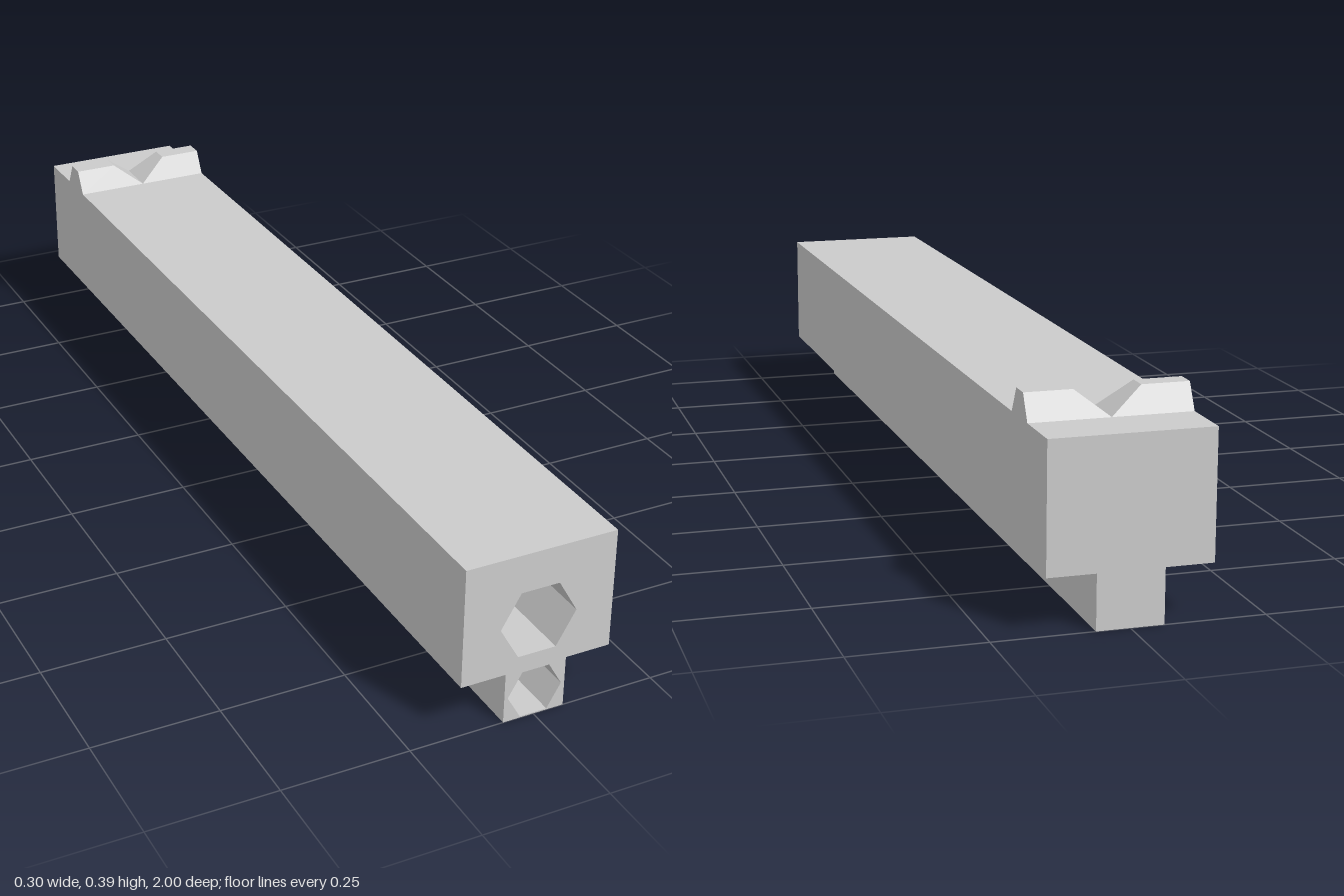
import * as THREE from 'three';

const material = new THREE.MeshStandardMaterial({ color: 0xcccccc, flatShading: true });
const HALF_WIDTH = 0.152, RAIL_HALF = 0.062, RAIL_TOP = 0.103, TOP = 0.344;
const BORE_END = -0.8;

// T-shaped cross-section: wide block above a narrow rail
function profile() {
  return new THREE.Shape([
    [-RAIL_HALF, 0], [RAIL_HALF, 0], [RAIL_HALF, RAIL_TOP], [HALF_WIDTH, RAIL_TOP],
    [HALF_WIDTH, TOP], [-HALF_WIDTH, TOP], [-HALF_WIDTH, RAIL_TOP], [-RAIL_HALF, RAIL_TOP],
  ].map(([x, y]) => new THREE.Vector2(x, y)));
}

// Six-sided bore with corners pointing sideways
function hexagon(cy, radius) {
  const points = [];
  for (let i = 0; i < 6; i++) {
    const a = -i * Math.PI / 3;
    points.push(new THREE.Vector2(radius * Math.cos(a), cy + radius * Math.sin(a)));
  }
  return new THREE.Path(points);
}

function extrude(name, shape, zBack, zFront) {
  const geometry = new THREE.ExtrudeGeometry(shape, { depth: zFront - zBack, bevelEnabled: false });
  geometry.translate(0, 0, zBack);
  const mesh = new THREE.Mesh(geometry, material);
  mesh.name = name;
  return mesh;
}

// Sloped ridge across the top, clipped by a V notch in the middle
function rearSight() {
  const height = 0.048;
  const stations = [[-HALF_WIDTH, 1], [-RAIL_HALF, 1], [0, 0], [RAIL_HALF, 1], [HALF_WIDTH, 1]];
  const positions = [], index = [];
  for (const [x, h] of stations) {
    const y = TOP + height * h;
    positions.push(
      x, TOP, -0.803,
      x, y, -0.803 - 0.026 * h,
      x, y, -0.892 + 0.025 * h,
      x, TOP, -0.892,
    );
  }
  for (let s = 0; s < stations.length - 1; s++) {
    for (let k = 0; k < 3; k++) {
      const a = s * 4 + k, b = a + 4;
      index.push(a, b, b + 1, a, b + 1, a + 1);
    }
  }
  // End caps
  const e = (stations.length - 1) * 4;
  index.push(0, 1, 2, 0, 2, 3, e, e + 2, e + 1, e, e + 3, e + 2);
  const geometry = new THREE.BufferGeometry();
  geometry.setAttribute('position', new THREE.Float32BufferAttribute(positions, 3));
  geometry.setIndex(index);
  const flat = geometry.toNonIndexed();
  flat.computeVertexNormals();
  const mesh = new THREE.Mesh(flat, material);
  mesh.name = 'rearSight';
  return mesh;
}

export function createModel() {
  const group = new THREE.Group();
  group.name = 'slide';

  // Bored front length and solid rear block
  const bored = profile();
  bored.holes.push(hexagon(0.2, 0.077), hexagon(0.05, 0.055));
  group.add(extrude('boredBody', bored, BORE_END, 1));
  group.add(extrude('rearBlock', profile(), -1, BORE_END));

  group.add(rearSight());
  return group;
}
